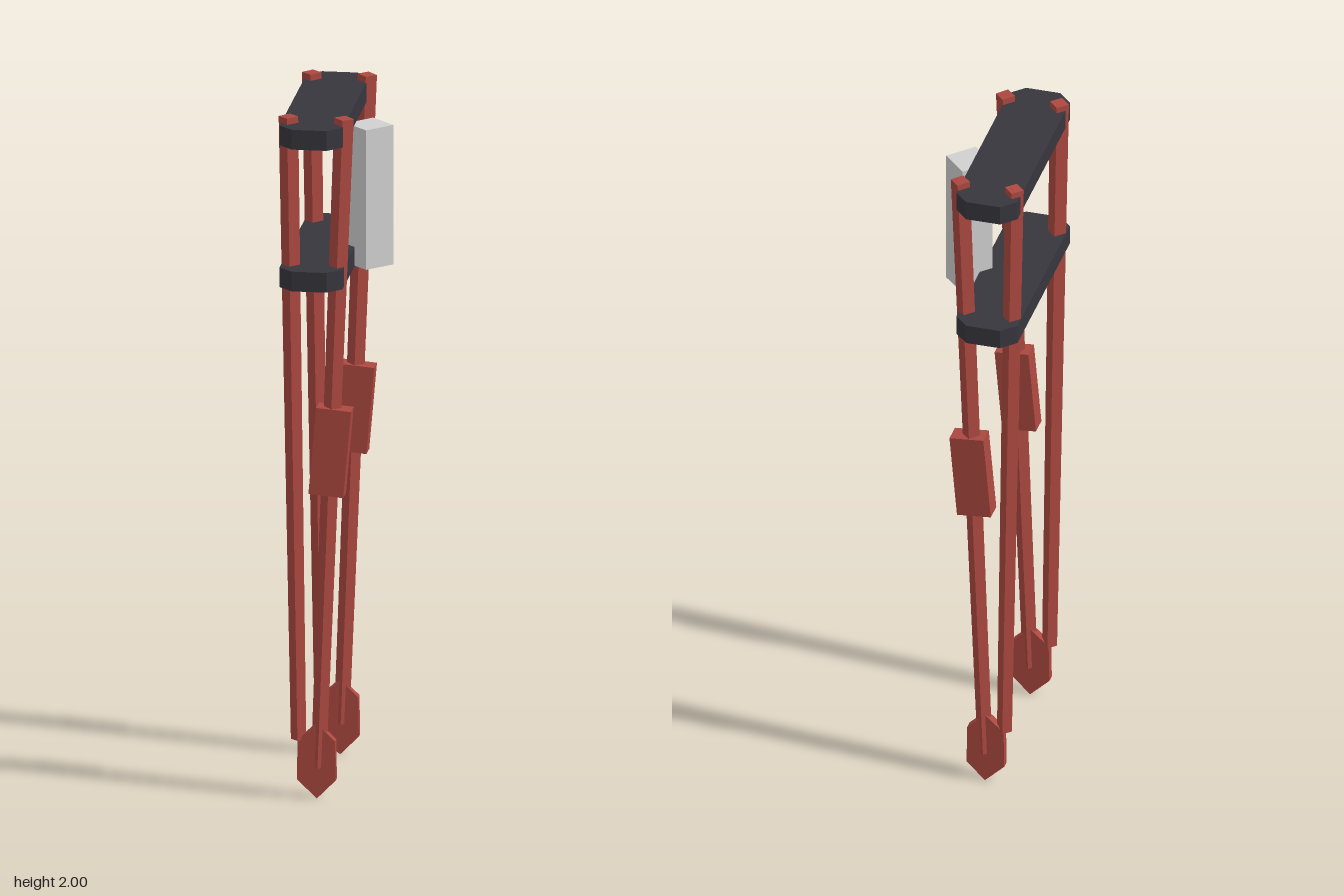
import * as THREE from 'three';

const makeMaterial = (name, color) => {
  const m = new THREE.MeshStandardMaterial({ color });
  m.name = name;
  return m;
};

export function createModel() {
  const red = makeMaterial('brick red', 0xac4840);
  const dark = makeMaterial('dark slate', 0x37363d);
  const grey = makeMaterial('light grey', 0xd0d0d0);
  const group = new THREE.Group();

  const add = (name, geometry, material, x = 0, y = 0, z = 0) => {
    const mesh = new THREE.Mesh(geometry, material);
    mesh.name = name;
    mesh.position.set(x, y, z);
    group.add(mesh);
    return mesh;
  };
  const shapeOf = pts => new THREE.Shape(pts.map(p => new THREE.Vector2(...p)));
  const extrude = (pts, depth) =>
    new THREE.ExtrudeGeometry(shapeOf(pts), { depth, bevelEnabled: false });
  // Four-sided rod with its corners on the axes and crisp faces
  const rod = (rTop, rBottom, height) => {
    const g = new THREE.CylinderGeometry(rTop, rBottom, height, 4).toNonIndexed();
    g.computeVertexNormals();
    return g;
  };

  // Two platforms with chamfered corners
  const platform = extrude([
    [-0.14, -0.27], [-0.1, -0.31], [0, -0.31], [0.04, -0.27],
    [0.04, 0.27], [0, 0.31], [-0.1, 0.31], [-0.14, 0.27],
  ], 0.058).rotateX(-Math.PI / 2);
  add('upperPlatform', platform, dark, 0, 1.924, 0);
  add('lowerPlatform', platform, dark, 0, 1.507, 0);

  // Upright block between the platforms
  add('uprightPost', rod(0.068, 0.068, 0.41), grey, 0.079, 1.715, 0);

  // Tapered leg leaning from its bottom point to its top point
  const leg = (name, x0, y0, x1, y1, z) => {
    const dx = x1 - x0, dy = y1 - y0;
    const mesh = add(name, rod(0.028, 0.022, Math.hypot(dx, dy)), red,
      (x0 + x1) / 2, (y0 + y1) / 2, z);
    mesh.rotation.z = -Math.atan2(dx, dy);
  };

  // Pointed foot plate
  const foot = extrude([
    [-0.037, 0], [0.017, 0.055], [0.015, 0.17],
    [-0.037, 0.22], [-0.092, 0.17], [-0.094, 0.055],
  ], 0.026).translate(0, 0, -0.013);

  for (const [side, z] of [['front', 0.233], ['rear', -0.233]]) {
    leg(side + 'RightLeg', -0.091, 0.17, -0.12, 2, z);
    leg(side + 'LeftLeg', -0.034, 0.09, 0.039, 2, z);
    const sleeve = add(side + 'LegSleeve', new THREE.BoxGeometry(0.1, 0.255, 0.057), red,
      0.002, 1.022, z);
    sleeve.rotation.z = -0.087;
    add(side + 'Foot', foot, red, 0, 0, z);
  }
  return group;
}
